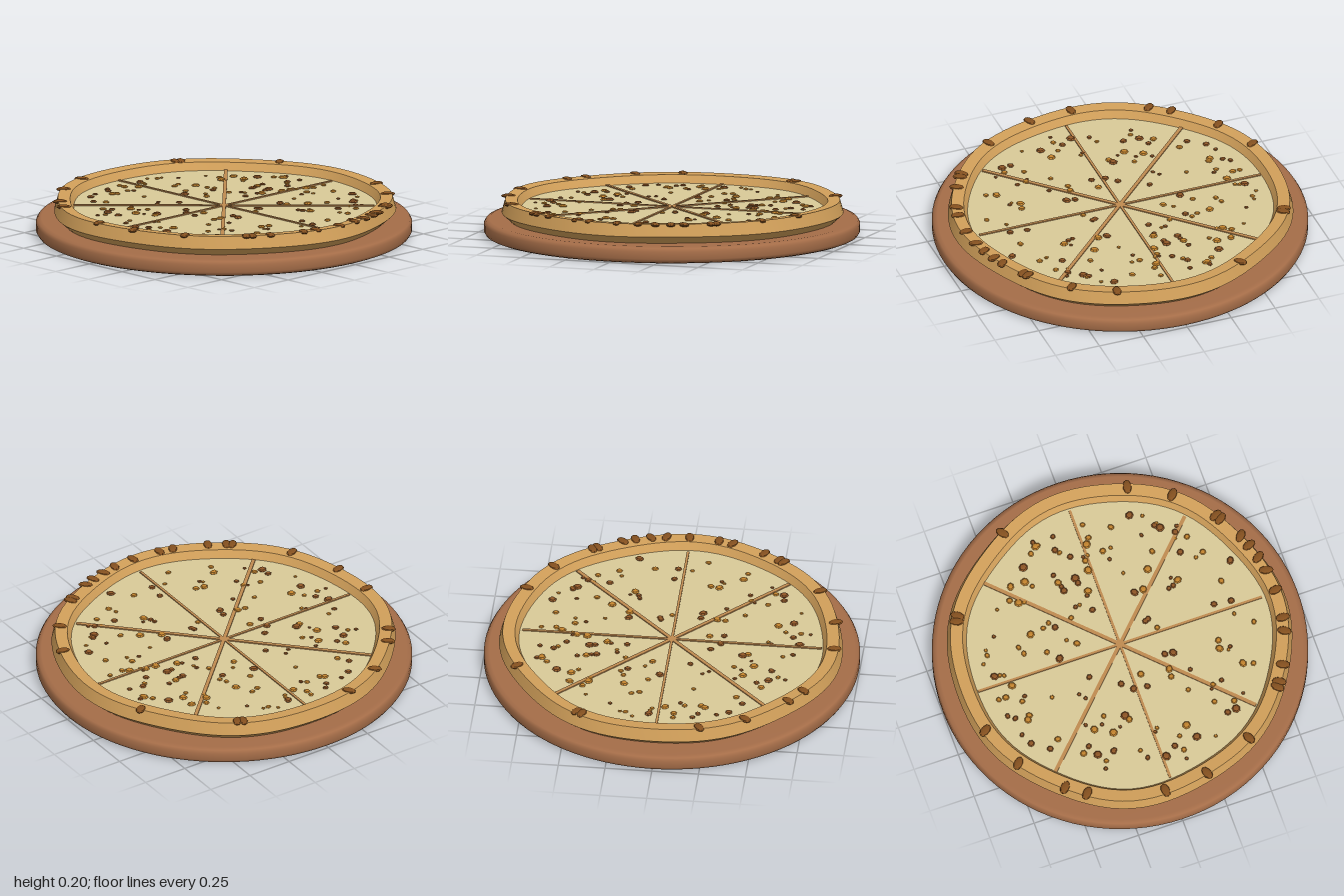
import * as THREE from 'three';
import { toCreasedNormals } from 'three/addons/utils/BufferGeometryUtils.js';

const mat = (name, color) => Object.assign(new THREE.MeshStandardMaterial({ color }), { name });
const V = (x, y) => new THREE.Vector2(x, y);

// Small seeded generator
function seeded(seed) {
  return () => (seed = (seed * 16807) % 2147483647) / 2147483647;
}

// Uneven hand-rolled outline: radius offset at an angle
const wobble = (a) => 0.007 * Math.sin(7 * a + 1.2) + 0.006 * Math.sin(4 * a + 0.6);

export function createModel() {
  const group = new THREE.Group();
  const wood = mat('wood', 0xa56d48);
  const dough = mat('baked dough', 0xd2a05a);
  const cheese = mat('cheese', 0xd9ca98);
  const cut = mat('cut line', 0xc08b50);
  const golden = mat('golden crumb', 0xc4842e);
  const brown = mat('brown crumb', 0x8f5626);
  const nut = mat('nut', 0x84501f);

  const add = (name, geometry, material, parent = group) => {
    const mesh = new THREE.Mesh(geometry, material);
    mesh.name = name;
    parent.add(mesh);
    return mesh;
  };
  const addGroup = (name) => {
    const g = new THREE.Group();
    g.name = name;
    group.add(g);
    return g;
  };

  // Round board with a softened rim
  add('board', new THREE.LatheGeometry([
    V(0, 0), V(0.97, 0), V(0.99, 0.008), V(1, 0.025), V(1, 0.065),
    V(0.99, 0.082), V(0.97, 0.09), V(0, 0.09),
  ], 96), wood);

  // Crust ring: faceted section, bent by the wobble
  const ring = new THREE.LatheGeometry([
    V(0.8, 0.1), V(0.865, 0.088), V(0.912, 0.13), V(0.893, 0.197),
    V(0.828, 0.192), V(0.802, 0.14), V(0.8, 0.1),
  ], 96);
  const p = ring.attributes.position;
  for (let i = 0; i < p.count; i++) {
    const x = p.getX(i), z = p.getZ(i), r = Math.hypot(x, z);
    const k = (r + wobble(Math.atan2(z, x))) / r;
    p.setX(i, x * k);
    p.setZ(i, z * k);
  }
  add('crust', toCreasedNormals(ring, 0.35), dough);

  // Filling
  const filling = add('cheeseFilling', new THREE.CylinderGeometry(0.825, 0.825, 0.05, 96), cheese);
  filling.position.y = 0.125;

  // Four cuts across make eight slices
  const cuts = addGroup('sliceCuts');
  for (let i = 0; i < 4; i++) {
    const bar = add('sliceCut', new THREE.BoxGeometry(1.6, 0.008, i % 2 ? 0.02 : 0.014), cut, cuts);
    bar.position.y = 0.152;
    bar.rotation.y = (i * Math.PI) / 4;
  }

  // Crumbs on the filling: the large ones placed, the small ones scattered
  const rand = seeded(4217);
  const crumbs = addGroup('crumbs');
  const lump = toCreasedNormals(new THREE.SphereGeometry(1, 7, 4), 0.3);
  const crumb = (x, z, size, material) => {
    const m = add('crumb', lump, material, crumbs);
    m.position.set(x, 0.153, z);
    m.scale.set(size, size * 0.45, size * (0.8 + 0.3 * rand()));
    m.rotation.y = rand() * 6.28;
  };
  const goldenSpots = [
    [-0.44, -0.5], [-0.43, -0.21], [-0.2, 0.46], [-0.29, 0.41], [0.18, 0.55], [0.49, 0.2],
    [0.58, 0.32], [0.22, -0.25], [-0.06, -0.34], [0.02, -0.59], [-0.24, -0.67], [0.28, -0.35],
    [0.41, -0.24], [-0.02, -0.45], [-0.62, 0.03], [-0.43, -0.4], [-0.36, -0.5], [0.2, 0.22],
  ];
  const brownSpots = [
    [-0.34, -0.58], [-0.33, -0.03], [-0.11, 0.39], [-0.32, 0.55], [0.21, 0.63], [0.46, 0.55],
    [0.17, -0.25], [0.29, -0.67], [0.42, -0.55], [0.71, -0.25], [-0.1, -0.43], [-0.69, -0.05],
    [0.02, 0.68], [0.25, 0.14],
  ];
  for (const [x, z] of goldenSpots) crumb(x, z, 0.023, golden);
  for (const [x, z] of brownSpots) crumb(x, z, 0.024, brown);
  for (let i = 0; i < 125; i++) {
    const a = rand() * 6.283, r = 0.12 + 0.62 * Math.sqrt(rand());
    crumb(r * Math.cos(a), r * Math.sin(a), 0.01 + 0.01 * rand(), rand() < 0.58 ? golden : brown);
  }

  // Nuts pressed into the crust, by angle in degrees
  const nuts = addGroup('crustNuts');
  const kernel = toCreasedNormals(new THREE.SphereGeometry(1, 10, 6), 0.3);
  const angles = [
    -153, -151, -116, -68, -52, -35, -33, -23.5, -19, -13.5, -8, 0, 10.5, 15.5, 28,
    34.5, 36.5, 58, 77.6, 93.5, 121, 129, 147.6, 164.4,
  ];
  for (const deg of angles) {
    const a = THREE.MathUtils.degToRad(deg), r = 0.876;
    const m = add('nut', kernel, nut, nuts);
    m.position.set(r * Math.cos(a), 0.193, r * Math.sin(a));
    m.scale.set(0.039, 0.012, 0.025);
    m.rotation.y = -a + (rand() - 0.5) * 0.9;
  }
  return group;
}
